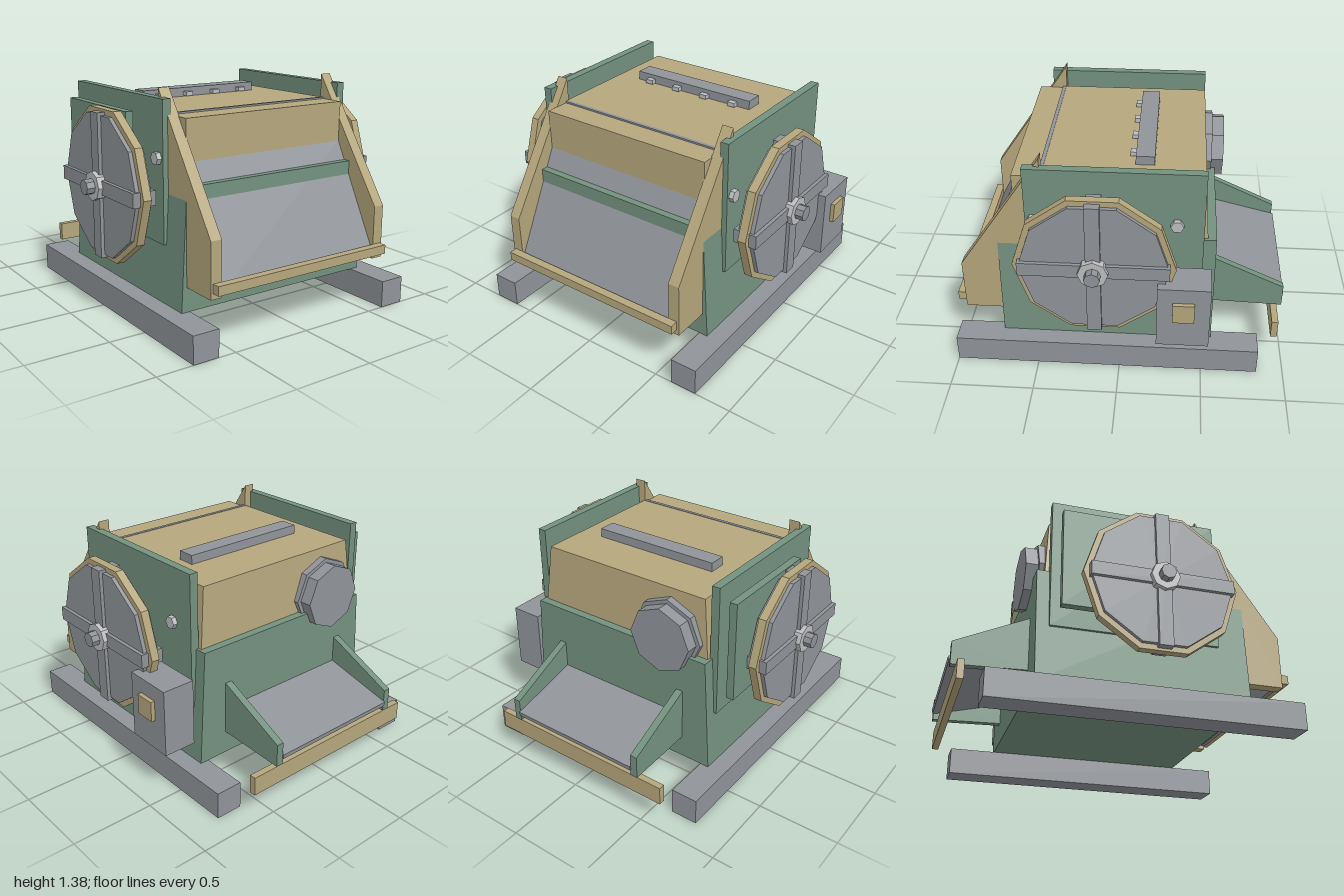
import * as THREE from 'three';

const mat = (name, color) => {
  const m = new THREE.MeshStandardMaterial({ color });
  m.name = name;
  return m;
};

export function createModel() {
  const model = new THREE.Group();
  model.name = 'millingMachine';
  const green = mat('machine green', 0x73917f);
  const tan = mat('tan', 0xb5a67c);
  const gray = mat('steel gray', 0x909499);
  const light = mat('light steel', 0xbcbec0);

  const add = (name, geo, material, parent = model) => {
    const mesh = new THREE.Mesh(geo, material);
    mesh.name = name;
    parent.add(mesh);
    return mesh;
  };
  // Box given by its limits on each axis
  const box = (name, m, x0, x1, y0, y1, z0, z1, parent) => {
    const g = new THREE.BoxGeometry(x1 - x0, y1 - y0, z1 - z0);
    g.translate((x0 + x1) / 2, (y0 + y1) / 2, (z0 + z1) / 2);
    return add(name, g, m, parent);
  };
  // Side profile of [z, y] points, extruded from x0 to x1
  const profile = (name, m, points, x0, x1) => {
    const shape = new THREE.Shape(points.map(p => new THREE.Vector2(...p)));
    const g = new THREE.ExtrudeGeometry(shape, { depth: x1 - x0, bevelEnabled: false });
    g.rotateY(-Math.PI / 2).translate(x1, 0, 0);
    return add(name, g, m);
  };
  // Faceted cylinder along x, one corner pointing up
  const discX = (name, m, r, x0, x1, y, z, sides, parent) => {
    const g = new THREE.CylinderGeometry(r, r, x1 - x0, sides).toNonIndexed();
    g.rotateZ(Math.PI / 2).translate((x0 + x1) / 2, y, z);
    g.computeVertexNormals();
    return add(name, g, m, parent);
  };
  // Box whose top differs from its bottom
  const taper = (name, m, y0, y1, bottom, top) => {
    const g = new THREE.BoxGeometry(1, 1, 1).toNonIndexed();
    const p = g.attributes.position;
    for (let i = 0; i < p.count; i++) {
      const up = p.getY(i) > 0;
      const [half, back, front] = up ? top : bottom;
      p.setXYZ(i, Math.sign(p.getX(i)) * half, up ? y1 : y0, p.getZ(i) > 0 ? front : back);
    }
    g.computeVertexNormals();
    return add(name, g, m);
  };

  // Housing and hood
  taper('housing', green, 0.165, 0.875, [0.664, -0.555, 0.72], [0.626, -0.555, 0.72]);
  taper('hood', tan, 0.87, 1.235, [0.61, -0.505, 0.45], [0.57, -0.48, 0.45]);
  box('hoodSeam', gray, -0.565, 0.565, 0.97, 1.238, 0.449, 0.471);
  box('hoodFront', tan, -0.565, 0.565, 0.975, 1.228, 0.47, 0.62);

  // Sloping feed plate and lip
  profile('feedPlate', gray, [[0.62, 0.985], [0.595, 0.975], [0.93, 0.335], [0.958, 0.335]], -0.562, 0.562);
  box('feedLip', tan, -0.615, 0.615, 0.345, 0.4, 0.95, 1);

  // Bar with bolts on top of the hood
  box('topBar', gray, -0.415, 0.415, 1.23, 1.29, -0.185, -0.075);
  for (let i = 0; i < 4; i++) {
    const x = -0.31 + i * 0.205;
    box('topBarBolt', light, x - 0.025, x + 0.025, 1.24, 1.266, -0.08, -0.04);
  }

  for (const s of [-1, 1]) {
    // Limits listed from the middle outward, mirrored for the other side
    const span = (a, b) => (s > 0 ? [a, b] : [-b, -a]);
    box('skid', gray, ...span(0.61, 0.775), 0, 0.165, -0.84, 1);
    box('sidePanel', green, ...span(0.61, 0.662), 0.51, 1.33, -0.48, 0.54);
    profile('feedCheek', tan,
      [[0.95, 0.31], [0.95, 0.635], [0.445, 1.38], [0.445, 0.31]], ...span(0.56, 0.63));
    for (const z of [-0.325, 0.08, 0.49])
      discX('panelBolt', light, 0.038, ...span(0.65, 0.69), 1.0, z, 6);

    // Wheel with rim, disc, crossed spokes and hub
    const wheel = new THREE.Group();
    wheel.name = 'wheel';
    model.add(wheel);
    const y = 0.8, z = 0.135;
    discX('rim', tan, 0.465, ...span(0.772, 0.822), y, z, 10, wheel);
    discX('wheelDisc', gray, 0.43, ...span(0.748, 0.846), y, z, 10, wheel);
    box('spoke', gray, ...span(0.725, 0.868), y - 0.427, y + 0.427, z - 0.042, z + 0.042, wheel);
    box('spoke', gray, ...span(0.725, 0.868), y - 0.042, y + 0.042, z - 0.43, z + 0.43, wheel);
    discX('hub', light, 0.087, ...span(0.7, 0.895), y, z, 8, wheel);
    discX('axle', gray, 0.046, ...span(0.64, 0.945), y, z, 8, wheel);

    // Chute side
    profile('chuteSide', green,
      [[-0.55, 0.305], [-0.55, 0.635], [-0.99, 0.43], [-0.99, 0.29]], ...span(0.43, 0.475));
  }

  // Discharge chute and rear bar
  profile('chutePlate', gray, [[-0.54, 0.47], [-0.54, 0.44], [-0.995, 0.325], [-1, 0.355]], -0.432, 0.432);
  box('rearBar', tan, -0.615, 0.615, 0.15, 0.265, -0.965, -0.925);

  // Octagonal cover on the back
  for (const [r, z0, z1] of [[0.228, -0.53, -0.48], [0.203, -0.605, -0.53]]) {
    const g = new THREE.CylinderGeometry(r, r, z1 - z0, 8).toNonIndexed();
    g.rotateX(Math.PI / 2).translate(-0.345, 0.955, (z0 + z1) / 2);
    g.computeVertexNormals();
    add('rearCover', g, gray);
  }

  // Guard plate on one side, control box on the other
  box('guardPlate', green, -0.742, -0.694, 0.61, 1.235, -0.43, 0.275);
  box('controlBox', gray, 0.692, 0.895, 0.308, 0.72, -0.53, -0.225);
  box('controlPanel', tan, 0.89, 0.92, 0.5, 0.625, -0.44, -0.315);

  return model;
}
